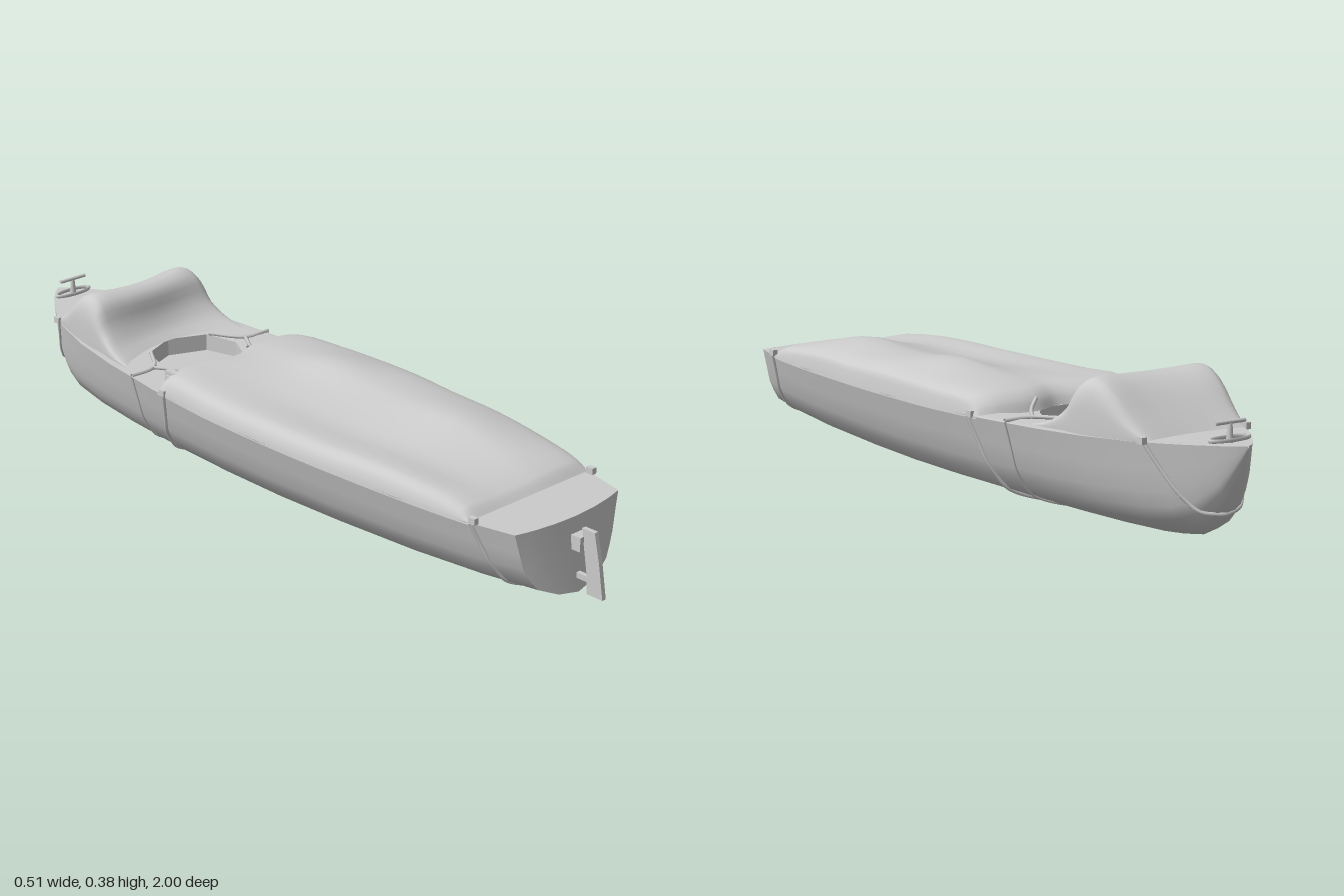
import * as THREE from 'three';

const V = (x, y, z) => new THREE.Vector3(x, y, z);
const grey = new THREE.MeshStandardMaterial({ color: 0xcccccc, side: THREE.DoubleSide });

// hull stations: z, half width, keel height, deck height
const STATIONS = [
  [0.88, 0.178, 0.027, 0.213], [0.75, 0.21, 0.019, 0.214], [0.55, 0.234, 0.01, 0.216], [0.3, 0.25, 0.003, 0.219],
  [0.1, 0.257, 0, 0.221], [-0.1, 0.255, 0, 0.224], [-0.3, 0.244, 0.002, 0.228], [-0.5, 0.223, 0.005, 0.235],
  [-0.65, 0.198, 0.008, 0.241], [-0.78, 0.16, 0.012, 0.247], [-0.85, 0.124, 0.025, 0.25], [-0.9, 0.092, 0.05, 0.252],
  [-0.95, 0.054, 0.115, 0.254], [-0.985, 0.022, 0.2, 0.255], [-1, 0.001, 0.25, 0.256],
];
// half cross-section as fractions of half width and depth, rail to keel
const SECTION = [[1, 1], [0.93, 0.74], [0.865, 0.5], [0.775, 0.34], [0.67, 0.2], [0.35, 0.06], [0, 0]];
const FULL = [...SECTION, ...SECTION.slice(0, -1).reverse().map(([x, y]) => [-x, y])];

function station(z) {
  let i = 0;
  while (i < STATIONS.length - 2 && z < STATIONS[i + 1][0]) i++;
  const a = STATIONS[i], b = STATIONS[i + 1];
  const t = THREE.MathUtils.clamp((a[0] - z) / (a[0] - b[0]), 0, 1);
  return a.map((v, k) => THREE.MathUtils.lerp(v, b[k], t));
}
const halfWidth = z => station(z)[1];
const deckY = z => station(z)[3];
function hullPoint(z, [fx, fy]) {
  const [, w, keel, deck] = station(z);
  return V(fx * w, keel + fy * (deck - keel), z);
}
// bowed, slightly raked stern face
const sternZ = (x, y) => 0.88 + 0.025 * (1 - (x / 0.178) ** 2) + 0.022 * (1 - (x / 0.178) ** 2) * (1 - y / 0.213);

// surface through rows of points
function loft(rows) {
  const n = rows[0].length, pos = [], idx = [];
  rows.forEach(r => r.forEach(p => pos.push(p.x, p.y, p.z)));
  for (let i = 0; i < rows.length - 1; i++)
    for (let j = 0; j < n - 1; j++) {
      const a = i * n + j, c = a + n;
      idx.push(a, a + 1, c, a + 1, c + 1, c);
    }
  const g = new THREE.BufferGeometry();
  g.setAttribute('position', new THREE.Float32BufferAttribute(pos, 3));
  g.setIndex(idx);
  g.computeVertexNormals();
  return g;
}
// refine rows with splines in both directions
function smoothRows(rows, k) {
  const refine = list => new THREE.CatmullRomCurve3(list, false, 'centripetal').getPoints((list.length - 1) * k);
  const wide = rows.map(refine);
  const columns = wide[0].map((_, j) => refine(wide.map(r => r[j])));
  return columns[0].map((_, i) => columns.map(c => c[i]));
}

export function createModel() {
  const boat = new THREE.Group();
  boat.name = 'coveredBoat';
  const add = (name, geometry, parent = boat) => {
    const m = new THREE.Mesh(geometry, grey);
    m.name = name;
    parent.add(m);
    return m;
  };
  const box = (name, w, h, d, x, y, z) => add(name, new THREE.BoxGeometry(w, h, d).translate(x, y, z));
  const rope = (name, pts, r = 0.005, seg = 0) =>
    add(name, new THREE.TubeGeometry(new THREE.CatmullRomCurve3(pts, false, 'centripetal'), seg || pts.length * 4, r, 6));

  // hull shell, ending on the bowed stern
  const hullRows = STATIONS.map(s => FULL.map(f => hullPoint(s[0], f)));
  hullRows[0].forEach(p => { p.z = sternZ(p.x, p.y); });
  add('hull', loft(hullRows));

  // stern face, from the deck edge down to the hull outline
  const transomRows = [0, 0.25, 0.5, 0.75, 1].map(t => hullRows[0].map(p => {
    const y = THREE.MathUtils.lerp(STATIONS[0][3], p.y, t);
    return V(p.x, y, sternZ(p.x, y));
  }));
  add('transom', loft(transomRows));

  // flat shapes laid on the boat, drawn as (x, -z)
  const flat = (shape, height) => {
    const g = new THREE.ShapeGeometry(shape).rotateX(-Math.PI / 2);
    const p = g.attributes.position;
    for (let i = 0; i < p.count; i++) p.setY(i, height(p.getZ(i)));
    g.computeVertexNormals();
    return g;
  };

  // deck with the cockpit opening
  const well = [[0.1, -0.49], [0.125, -0.4], [0.09, -0.33], [0.05, -0.28], [-0.05, -0.28],
    [-0.09, -0.33], [-0.125, -0.4], [-0.1, -0.49], [0, -0.53]];
  const to2 = ([x, z]) => new THREE.Vector2(x, -z);
  const outline = STATIONS.map(s => [s[1], s[0]]);
  const sternEdge = [-0.13, -0.07, 0, 0.07, 0.13].map(x => [x, sternZ(x, 0.213)]);
  const deckShape = new THREE.Shape([...outline, ...outline.map(([x, z]) => [-x, z]).reverse(), ...sternEdge].map(to2));
  deckShape.holes.push(new THREE.Path(well.map(to2)));
  add('deck', flat(deckShape, deckY));

  // cockpit walls and floor
  const FLOOR = 0.19, ring = [...well, well[0]];
  add('cockpitWalls', loft([ring.map(([x, z]) => V(x, FLOOR, z)), ring.map(([x, z]) => V(x, deckY(z), z))]).toNonIndexed())
    .geometry.computeVertexNormals();
  add('cockpitFloor', flat(new THREE.Shape(well.map(to2)), () => FLOOR));

  // cargo cover: z, then heights above the deck from right to left
  const COVER = [
    [0.765, 0.003, 0.003, 0.003, 0.003, 0.003], [0.735, 0.025, 0.022, 0.022, 0.026, 0.028],
    [0.6, 0.043, 0.034, 0.045, 0.06, 0.052], [0.46, 0.048, 0.042, 0.062, 0.082, 0.065],
    [0.3, 0.045, 0.038, 0.056, 0.074, 0.064], [0.17, 0.045, 0.04, 0.058, 0.078, 0.07],
    [0.02, 0.046, 0.045, 0.062, 0.089, 0.068], [-0.1, 0.048, 0.05, 0.06, 0.074, 0.062],
    [-0.25, 0.05, 0.052, 0.052, 0.052, 0.05], [-0.285, 0.028, 0.03, 0.03, 0.03, 0.028],
    [-0.3, 0.002, 0.002, 0.002, 0.002, 0.002],
  ];
  const across = [-0.82, -0.42, 0, 0.34, 0.76];
  const coverRows = COVER.map(([z, ...h]) => {
    const w = halfWidth(z) + 0.001, base = deckY(z);
    const pts = across.map((f, k) => [f, h[k]]);
    const all = [[-1, -0.005], [-0.985, h[0] * 0.3], [-0.94, h[0] * 0.75], ...pts,
      [0.95, h[4] * 0.7], [0.985, h[4] * 0.3], [1, -0.005]];
    // scalloped forward edge
    return all.map(([f, y]) => V(f * w, base + y, z - (z < -0.2 ? 0.035 * Math.sin(Math.PI * Math.abs(f)) - 0.015 : 0)));
  });
  add('cargoCover', loft(smoothRows(coverRows, 3)));

  // spray hood over the foredeck: z, half width, height, bow of the row
  const HOOD = [
    [-0.455, 0.206, 0.004, -0.065], [-0.52, 0.202, 0.025, -0.035], [-0.57, 0.195, 0.062, -0.01], [-0.605, 0.193, 0.112, 0.01],
    [-0.65, 0.188, 0.13, 0.025], [-0.7, 0.178, 0.11, 0.02], [-0.76, 0.163, 0.05, 0.005], [-0.82, 0.143, 0.003, 0.015],
  ];
  const arch = [[1, -0.02], [1, 0.3], [0.985, 0.65], [0.93, 0.88], [0.82, 1], [0.4, 0.985]];
  const hoodArch = [...arch.map(([x, y]) => [-x, y]), [0, 0.97], ...arch.slice().reverse()];
  add('sprayHood', loft(smoothRows(HOOD.map(([z, w, h, bow]) =>
    hoodArch.map(([f, y]) => V(f * w, deckY(z) + y * h, z + bow * (1 - f * f)))), 3)));

  // lashing ropes around the hull: z at the rail, z at the keel
  [[0.77, 0.83], [-0.255, -0.32], [-0.395, -0.395], [-0.81, -0.93]].forEach(([top, keel], i) => {
    const pts = FULL.map(f => {
      const p = hullPoint(THREE.MathUtils.lerp(keel, top, f[1]), f);
      p.x *= 1.008;
      return p;
    });
    rope('hullRope' + (i + 1), pts, i === 2 ? 0.003 : 0.005, 60);
  });

  // forked cockpit ropes and rail knots on both sides
  for (const s of [1, -1]) {
    const at = (x, z, lift = 0.006) => V(s * x, deckY(z) + lift, z);
    rope('cockpitRope', [at(0.237, -0.395), at(0.16, -0.4), at(0.1, -0.48)]);
    rope('cockpitRope', [at(0.16, -0.4), at(0.11, -0.325, 0.012), at(0.08, -0.3, 0.03)]);
    box('sternKnot', 0.014, 0.016, 0.02, s * 0.203, 0.222, 0.775);
    box('bowKnot', 0.014, 0.016, 0.02, s * 0.15, 0.253, -0.81);
    box('midKnot', 0.014, 0.016, 0.02, s * 0.244, 0.232, -0.262);
  }

  // small rail block beside the cargo cover
  box('railBlock', 0.032, 0.03, 0.03, -0.2, 0.25, -0.272);
  box('railBlockCap', 0.02, 0.014, 0.044, -0.2, 0.268, -0.272);

  // bow fitting: oval ring, post and crossbar
  const bowRing = add('bowRing', new THREE.TorusGeometry(0.055, 0.005, 6, 28).rotateX(Math.PI / 2));
  bowRing.scale.set(1, 1, 0.33);
  bowRing.position.set(0, 0.262, -0.935);
  add('bowPost', new THREE.CylinderGeometry(0.005, 0.009, 0.05, 8).translate(0, 0.277, -0.935));
  add('bowCrossbar', new THREE.CylinderGeometry(0.005, 0.005, 0.085, 8).rotateZ(Math.PI / 2).translate(0, 0.3, -0.935));

  // rudder blade, drawn as (z, y) and turned to face sideways
  const blade = new THREE.Shape([[0.93, 0.193], [0.968, 0.193], [0.985, 0.12], [1, 0.033], [0.953, 0.033], [0.951, 0.075]]
    .map(([z, y]) => new THREE.Vector2(-z, y)));
  add('rudder', new THREE.ExtrudeGeometry(blade, { depth: 0.012, bevelEnabled: false })
    .translate(0, 0, -0.006).rotateY(Math.PI / 2));
  box('rudderBracket', 0.036, 0.036, 0.03, 0, 0.155, 0.922);
  box('rudderHinge', 0.012, 0.014, 0.04, 0, 0.07, 0.94);

  return boat;
}
